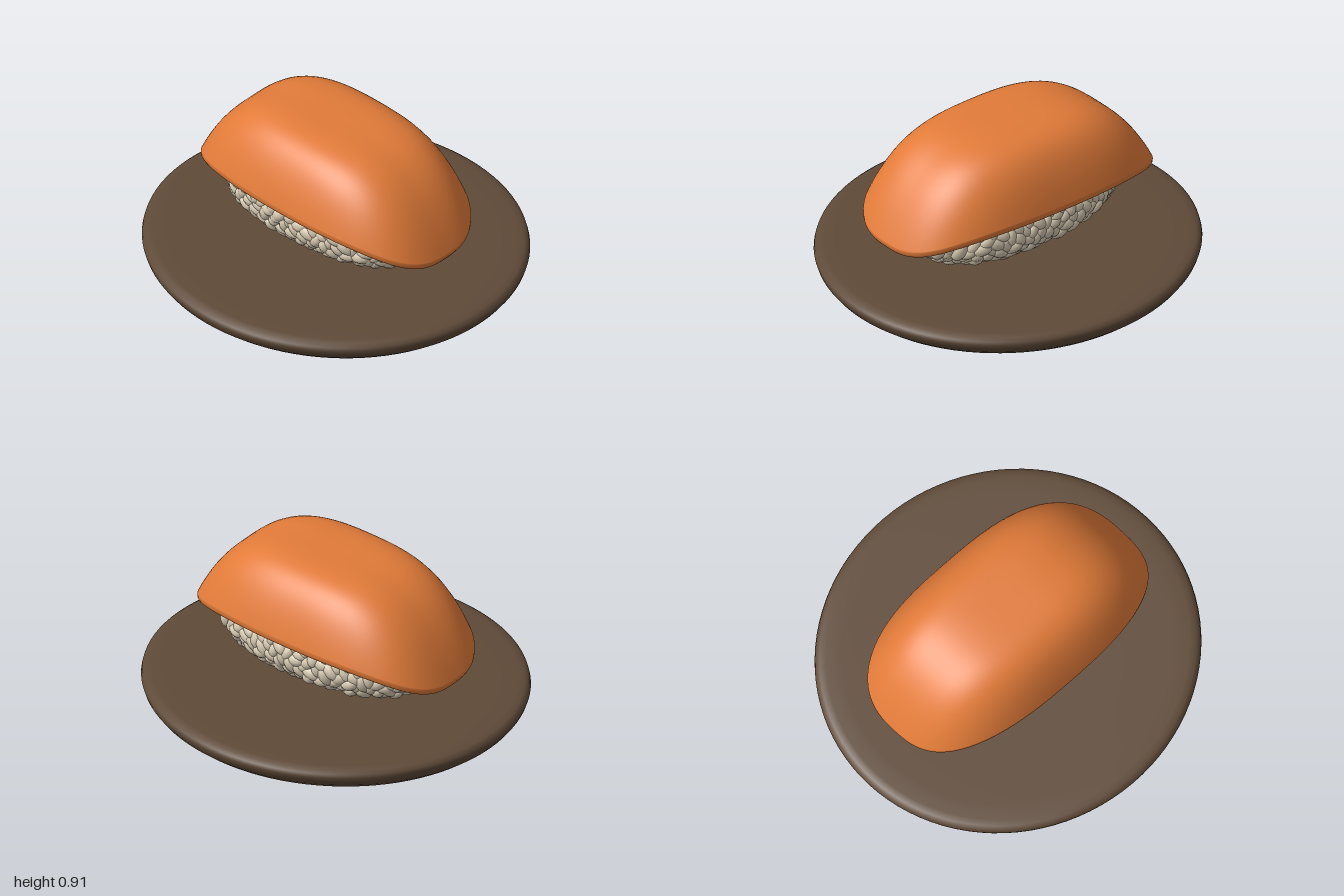
import * as THREE from 'three';
import { mergeGeometries } from 'three/addons/utils/BufferGeometryUtils.js';

const mat = (name, color) => {
  const m = new THREE.MeshStandardMaterial({ color });
  m.name = name;
  return m;
};

function seeded(seed) {
  return () => {
    seed = (seed * 1664525 + 1013904223) % 4294967296;
    return seed / 4294967296;
  };
}

// Oval plate with a rounded rim and a curved-in underside
function platterGeometry() {
  const profile = [
    [0, 0], [0.5, 0.003], [0.7, 0.009], [0.8, 0.02], [0.87, 0.038], [0.93, 0.068], [0.97, 0.1],
    [0.992, 0.13], [1, 0.155], [0.995, 0.175], [0.975, 0.189], [0.94, 0.195], [0.85, 0.198], [0.6, 0.2], [0, 0.2],
  ].map(([x, y]) => new THREE.Vector2(x, y));
  return new THREE.LatheGeometry(profile, 96).scale(1, 1, 0.945);
}

// Draped slice: rings run from the crown over the rim and back under
function sliceGeometry() {
  const A = 0.78, B = 0.445, N = 2.7, SEG = 96, TOP = 24, UNDER = 10;
  const crown = 0.91, ceiling = 0.64;
  const rings = [];
  for (let i = 0; i <= TOP; i++) {
    const r = Math.sin((i / TOP) * Math.PI / 2);
    rings.push((rim, p) => [r, rim + 0.035 + (crown - rim - 0.035) * (1 - r ** p)]);
  }
  for (const [r, dy] of [[0.999, 0.018], [0.988, 0.004], [0.97, 0], [0.945, 0.003], [0.92, 0.012]])
    rings.push((rim) => [r, rim + dy]);
  for (let i = 0; i <= UNDER; i++) {
    const k = 1 - i / UNDER;
    rings.push((rim) => [0.89 * k, rim + 0.025 + (ceiling - rim - 0.025) * (1 - k ** 2.5)]);
  }
  const pos = [], index = [];
  for (const ring of rings) {
    for (let j = 0; j < SEG; j++) {
      const t = (j / SEG) * Math.PI * 2, c = Math.cos(t), s = Math.sin(t);
      const R = (Math.abs(c) ** N + Math.abs(s) ** N) ** (-1 / N);
      const rim = 0.555 - 0.133 * Math.abs(c * R) ** 4;
      const [r, y] = ring(rim, 3.7 + 0.9 * s * s);
      const x = A * c * R * r;
      pos.push(x, y, B * s * R * r + 0.05 * x);
    }
  }
  for (let i = 0; i < rings.length - 1; i++) {
    for (let j = 0; j < SEG; j++) {
      const k = (j + 1) % SEG;
      const a = i * SEG + j, b = a + SEG, c = (i + 1) * SEG + k, d = i * SEG + k;
      index.push(a, d, b, b, d, c);
    }
  }
  const g = new THREE.BufferGeometry();
  g.setAttribute('position', new THREE.Float32BufferAttribute(pos, 3));
  g.setIndex(index);
  g.computeVertexNormals();
  return g;
}

// Grains spread evenly over a blocky ellipsoid, around a solid core
function riceGeometry() {
  const rand = seeded(7), COUNT = 520, N = 2.4;
  const half = new THREE.Vector3(0.605, 0.175, 0.33);
  const project = (v) => {
    const norm = (Math.abs(v.x) ** N + Math.abs(v.y) ** N + Math.abs(v.z) ** N) ** (1 / N);
    return v.divideScalar(norm).multiply(half);
  };
  const core = new THREE.SphereGeometry(1, 32, 20);
  const p = core.attributes.position, v = new THREE.Vector3();
  for (let i = 0; i < p.count; i++) {
    project(v.fromBufferAttribute(p, i)).multiplyScalar(0.97);
    p.setXYZ(i, v.x, v.y, v.z);
  }
  core.computeVertexNormals();
  const parts = [core];
  const grain = new THREE.SphereGeometry(1, 12, 8);
  const q = new THREE.Quaternion(), spin = new THREE.Quaternion();
  const out = new THREE.Vector3(0, 0, 1), m = new THREE.Matrix4();
  for (let i = 0; i < COUNT; i++) {
    const y = 1 - 2 * (i + 0.5) / COUNT, r = Math.sqrt(1 - y * y), t = i * 2.39996;
    const at = project(new THREE.Vector3(Math.cos(t) * r, y, Math.sin(t) * r));
    const normal = at.clone().divide(half).divide(half).normalize();
    q.setFromUnitVectors(out, normal);
    q.multiply(spin.setFromAxisAngle(out, rand() * Math.PI));
    at.multiplyScalar(0.98 + rand() * 0.04);
    const size = 0.9 + rand() * 0.25;
    m.compose(at, q, new THREE.Vector3(0.056, 0.037, 0.036).multiplyScalar(size));
    parts.push(grain.clone().applyMatrix4(m));
  }
  return mergeGeometries(parts).translate(0, 0.435, 0);
}

export function createModel() {
  const model = new THREE.Group();
  model.name = 'nigiriOnPlate';
  const add = (name, geometry, material) => {
    const mesh = new THREE.Mesh(geometry, material);
    mesh.name = name;
    model.add(mesh);
  };
  add('plate', platterGeometry(), mat('dark brown', 0x5f4a38));
  add('rice', riceGeometry(), mat('rice cream', 0xd9ccb4));
  add('fishSlice', sliceGeometry(), mat('salmon orange', 0xe27b39));
  return model;
}
